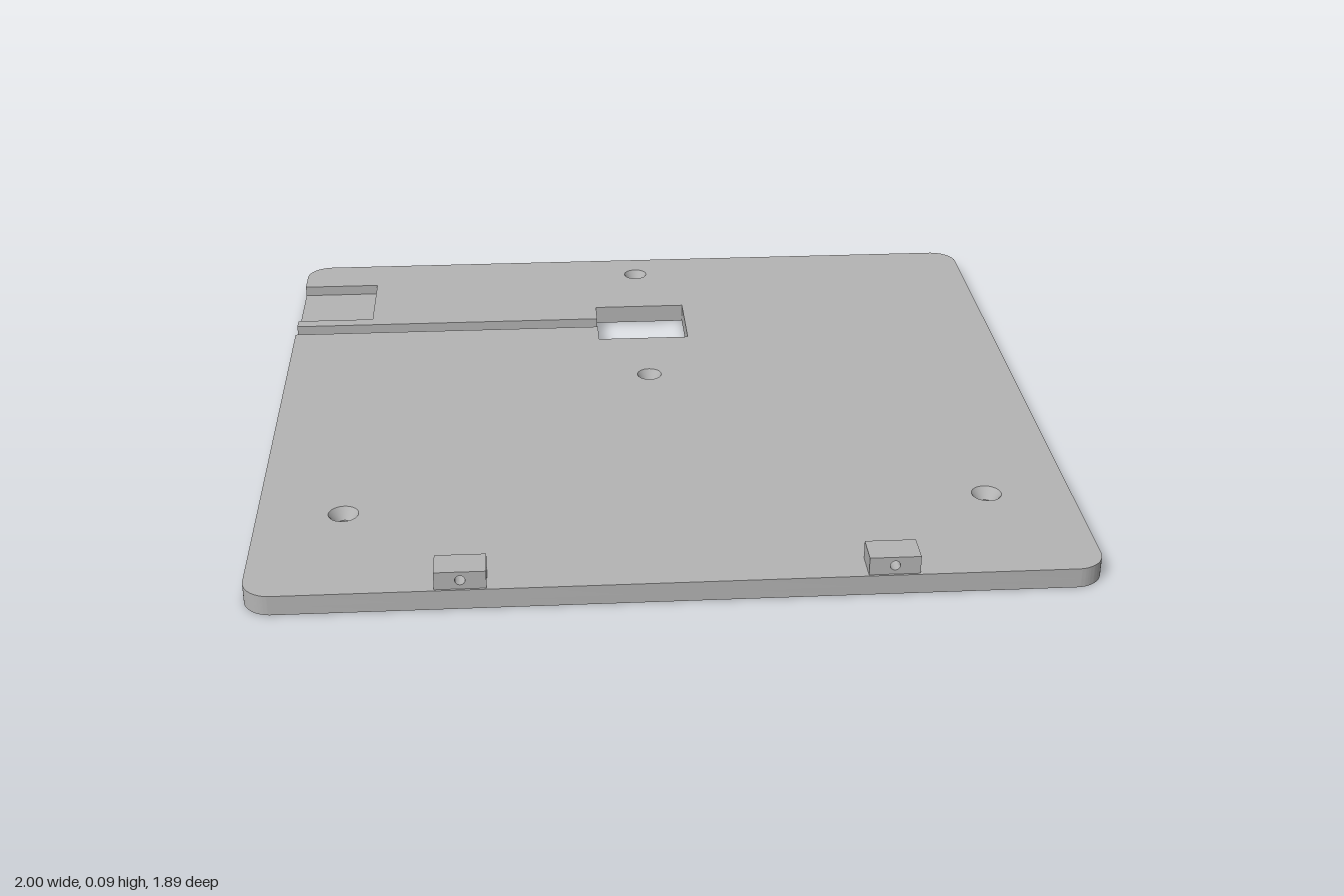
import * as THREE from 'three';
import { toCreasedNormals } from 'three/addons/utils/BufferGeometryUtils.js';

const W = 1, D = 0.945, R = 0.07;           // half width, half depth, corner radius
const FLOOR = 0.022, TOP = 0.05;            // recess floor and plate top
const WIN = { x0: -0.13, x1: 0.125, z0: -0.595, z1: -0.375 };
const POCKET = { x0: -W, x1: -0.785, z0: -0.8, z1: -0.553 };
const GROOVE = { x0: -W, x1: WIN.x0, z0: -0.515, z1: -0.46 };
const SCREWS = [[0, -0.835, 0.033], [0, -0.14, 0.033], [-0.79, 0.58, 0.037], [0.79, 0.58, 0.037]];
const BORE = 0.017;

// Shapes are drawn in (x, -z) and stood up along y
const circle = (x, y, r) => new THREE.Path().absarc(x, y, r, 0, Math.PI * 2, true);

// Rounded outline; leftCuts are extra [x, z] points along the left edge, back to front
function outline(leftCuts = []) {
  const s = new THREE.Shape();
  s.absarc(W - R, -D + R, R, -Math.PI / 2, 0);
  s.absarc(W - R, D - R, R, 0, Math.PI / 2);
  s.absarc(-W + R, D - R, R, Math.PI / 2, Math.PI);
  leftCuts.forEach(([x, z]) => s.lineTo(x, -z));
  s.absarc(-W + R, -D + R, R, Math.PI, Math.PI * 1.5);
  return s;
}

// Extruded layer with one hidden cap (dropSide: 1 upper, -1 lower) left out
function layer(shape, y0, y1, dropSide) {
  const g = new THREE.ExtrudeGeometry(shape, { depth: y1 - y0, bevelEnabled: false, curveSegments: 16 });
  g.rotateX(-Math.PI / 2).translate(0, y0, 0);
  const p = g.attributes.position, n = g.attributes.normal, kept = [];
  for (let i = 0; i < p.count; i += 3) {
    if (n.getY(i) * dropSide > 0.9) continue;
    for (let k = i; k < i + 3; k++) kept.push(p.getX(k), p.getY(k), p.getZ(k));
  }
  const out = new THREE.BufferGeometry();
  out.setAttribute('position', new THREE.Float32BufferAttribute(kept, 3));
  out.computeVertexNormals();
  return toCreasedNormals(out, 0.5);
}

export function createModel() {
  const model = new THREE.Group();
  model.name = 'mountingPlate';
  const grey = new THREE.MeshStandardMaterial({ color: 0xb4b4b4 });
  grey.name = 'grey plastic';
  const add = (name, geometry, x = 0, y = 0, z = 0) => {
    const m = new THREE.Mesh(geometry, grey);
    m.name = name;
    m.position.set(x, y, z);
    model.add(m);
    return m;
  };

  // Lower layer: full outline with window and screw bores
  const low = outline();
  low.holes.push(new THREE.Path([
    [WIN.x0, WIN.z0], [WIN.x1, WIN.z0], [WIN.x1, WIN.z1], [WIN.x0, WIN.z1],
  ].map(([x, z]) => new THREE.Vector2(x, -z))));
  SCREWS.forEach(([x, z]) => low.holes.push(circle(x, -z, BORE)));
  add('plateBase', layer(low, 0, FLOOR, 1));

  // Upper layer: outline cut by the pocket and by the groove running into the window
  const high = outline([
    [-W, POCKET.z0], [POCKET.x1, POCKET.z0], [POCKET.x1, POCKET.z1], [-W, POCKET.z1],
    [-W, GROOVE.z0], [WIN.x0, GROOVE.z0], [WIN.x0, WIN.z0], [WIN.x1, WIN.z0],
    [WIN.x1, WIN.z1], [WIN.x0, WIN.z1], [WIN.x0, GROOVE.z1], [-W, GROOVE.z1],
  ]);
  SCREWS.forEach(([x, z, r]) => high.holes.push(circle(x, -z, r)));
  add('plateTop', layer(high, FLOOR, TOP, -1));

  // Recess floors
  for (const [name, a] of [['pocketFloor', POCKET], ['grooveFloor', GROOVE]]) {
    const g = new THREE.PlaneGeometry(a.x1 - a.x0, a.z1 - a.z0).rotateX(-Math.PI / 2);
    add(name, g, (a.x0 + a.x1) / 2, FLOOR, (a.z0 + a.z1) / 2);
  }

  // Conical countersinks, facing inward
  SCREWS.forEach(([x, z, r]) => {
    const cone = new THREE.LatheGeometry(
      [new THREE.Vector2(r, TOP), new THREE.Vector2(BORE, FLOOR)], 32);
    add('countersink', cone, x, 0, z);
  });

  // Front lugs with a blind pin hole
  const w = 0.06, h = 0.045, half = 0.0385;
  for (const side of [-1, 1]) {
    const s = new THREE.Shape([[-w, 0], [w, 0], [w, h], [-w, h]].map(([x, y]) => new THREE.Vector2(x, y)));
    s.holes.push(circle(0, 0.023, 0.012));
    const front = new THREE.ExtrudeGeometry(s, { depth: half, bevelEnabled: false, curveSegments: 12 });
    add('lugFront', toCreasedNormals(front, 0.6), side * 0.5, TOP, 0.94 - half);
    add('lugBack', new THREE.BoxGeometry(w * 2, h, half), side * 0.5, TOP + h / 2, 0.94 - half * 1.5);
  }
  return model;
}
